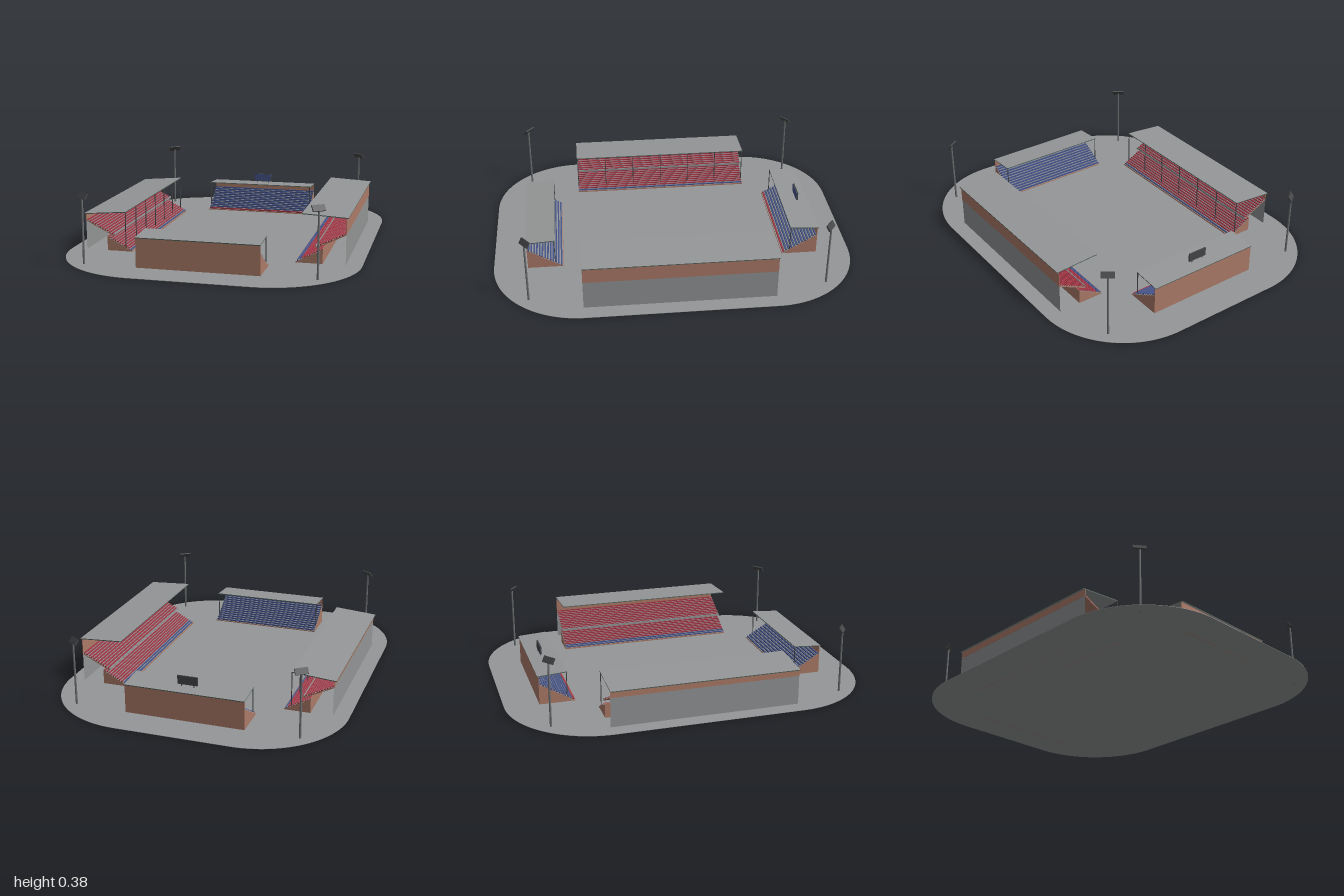
import * as THREE from 'three';

const mat = (name, color, extra = {}) =>
  Object.assign(new THREE.MeshStandardMaterial({ color, ...extra }), { name });
const concrete = mat('concrete grey', 0x949697);
const sheet = mat('wall grey', 0x929495, { side: THREE.DoubleSide });
const brick = mat('brick', 0xac7b68);
const red = mat('seat red', 0xa33645);
const blue = mat('seat blue', 0x46548a);
const steel = mat('steel grey', 0x6e7173);
const dark = mat('lamp dark grey', 0x454648);
const fascia = mat('fascia green', 0x56665f);

function add(parent, name, geometry, material, x = 0, y = 0, z = 0) {
  const mesh = new THREE.Mesh(geometry, material);
  mesh.name = name;
  mesh.position.set(x, y, z);
  parent.add(mesh);
  return mesh;
}
const box = (w, h, d) => new THREE.BoxGeometry(w, h, d);

// Stepped tier: x is the distance outwards, the section runs along z.
function tier(parent, name, { x0, y0, x1, y1, rows, slab, seat }, length) {
  const run = (x1 - x0) / rows, rise = (y1 - y0) / rows;
  const pts = [[x0, slab ? y0 - slab : 0]];
  for (let i = 0; i < rows; i++) {
    pts.push([x0 + i * run, y0 + i * rise], [x0 + (i + 1) * run, y0 + i * rise]);
  }
  pts.push([x1, slab ? y1 - slab : 0]);
  const shape = new THREE.Shape(pts.map(p => new THREE.Vector2(...p)));
  const geo = new THREE.ExtrudeGeometry(shape, { depth: length, bevelEnabled: false });
  geo.translate(0, 0, -length / 2);
  add(parent, name, geo, [brick, concrete]);
  // One continuous line of seats on each step
  for (let i = 0; i < rows; i++) {
    add(parent, name + 'Seats', box(run * 0.55, rise * 0.9, length - 0.006), seat(i),
      x0 + (i + 0.6) * run, y0 + (i + 0.45) * rise, 0);
  }
  // Brick faces at the foot, the back and the underside
  add(parent, name + 'Kerb', box(0.003, y0 - pts[0][1], length), brick, x0, (y0 + pts[0][1]) / 2, 0);
  if (slab) {
    const dx = x1 - x0, dy = y1 - y0;
    const under = add(parent, name + 'Underside', box(Math.hypot(dx, dy), 0.003, length), brick,
      (x0 + x1) / 2, (y0 + y1) / 2 - slab, 0);
    under.rotation.z = Math.atan2(dy, dx);
  } else {
    add(parent, name + 'BackWall', box(0.003, y1, length), brick, x1, y1 / 2, 0);
  }
}

// Thin sloping roof from the front edge (xf, yf) to the back edge (xb, yb)
function roof(parent, xf, yf, xb, yb, length) {
  const geo = box(Math.hypot(xb - xf, yb - yf), 0.005, length);
  const mesh = add(parent, 'roof', geo, [fascia, fascia, concrete, concrete, fascia, fascia],
    (xf + xb) / 2, (yf + yb) / 2, 0);
  mesh.rotation.z = Math.atan2(yb - yf, xb - xf);
}

function posts(parent, x, y0, y1, length, count) {
  for (let i = 0; i < count; i++) {
    const z = (i / (count - 1) - 0.5) * (length - 0.008);
    add(parent, 'roofPost', box(0.004, y1 - y0, 0.004), dark, x, (y0 + y1) / 2, z);
  }
}

// Two-tier stand along the side of the ground
function longStand(name, roofLine, blueRows, withPosts) {
  const g = new THREE.Group(), length = 1.03;
  g.name = name;
  const [xf, yf, xb, yb] = roofLine;
  tier(g, 'lowerTier', { x0: 0.453, y0: 0.01, x1: 0.592, y1: 0.083, rows: 11,
    seat: i => (i < blueRows ? blue : red) }, length);
  tier(g, 'upperTier', { x0: 0.558, y0: 0.094, x1: 0.712, y1: 0.17, rows: 11, slab: 0.008,
    seat: () => red }, length);
  add(g, 'tierParapet', box(0.004, 0.012, length), concrete, 0.556, 0.093, 0);
  const wall = new THREE.PlaneGeometry(length, 0.163).rotateY(Math.PI / 2);
  add(g, 'lowerBackWall', wall, sheet, 0.714, 0.0815, 0);
  add(g, 'upperBackWall', box(0.003, yb - 0.163, length), brick, 0.714, (yb + 0.163) / 2, 0);
  roof(g, xf, yf, xb, yb, length);
  if (withPosts) posts(g, xf + 0.002, 0.02, yf, length, 7);
  return g;
}

// Single-tier stand behind each end of the ground
function endStand(name, seat) {
  const g = new THREE.Group(), length = 0.655;
  g.name = name;
  tier(g, 'terrace', { x0: 0.617, y0: 0.008, x1: 0.808, y1: 0.12, rows: 13, seat }, length);
  add(g, 'backWall', box(0.004, 0.16, length), brick, 0.81, 0.08, 0);
  roof(g, 0.657, 0.172, 0.818, 0.161, length);
  posts(g, 0.66, 0.03, 0.171, length, 2);
  return g;
}

export function createModel() {
  const model = new THREE.Group();
  model.name = 'stadium';

  // Rounded ground slab
  const s = new THREE.Shape(), W = 0.8, L = 1, r = 0.49;
  for (const [x, y, a] of [[W - r, L - r, 0], [r - W, L - r, 1], [r - W, r - L, 2], [W - r, r - L, 3]]) {
    s.absarc(x, y, r, a * Math.PI / 2, (a + 1) * Math.PI / 2, false);
  }
  const slab = new THREE.ExtrudeGeometry(s, { depth: 0.002, bevelEnabled: false, curveSegments: 20 });
  add(model, 'ground', slab.rotateX(-Math.PI / 2), concrete);

  // Four stands
  const right = longStand('rightHandStand', [0.48, 0.265, 0.724, 0.252], 2, false);
  const left = longStand('leftHandStand', [0.487, 0.22, 0.726, 0.2], 1, true);
  left.rotation.y = Math.PI;
  const front = endStand('frontStand', () => blue);
  front.rotation.y = -Math.PI / 2;
  const back = endStand('backStand', i => (i === 0 ? red : blue));
  back.rotation.y = Math.PI / 2;
  model.add(right, left, front, back);

  // Scoreboard above the back stand
  add(model, 'scoreboard', box(0.11, 0.047, 0.008), dark, 0, 0.203, -0.75);
  add(model, 'scoreboardScreen', box(0.106, 0.043, 0.003), blue, 0, 0.203, -0.7455);
  for (const x of [-0.035, 0.035]) {
    add(model, 'scoreboardLeg', box(0.004, 0.02, 0.004), dark, x, 0.175, -0.75);
  }

  // Floodlights at the corners, tilted down towards the middle
  for (const sx of [-1, 1]) {
    for (const sz of [-1, 1]) {
      const light = new THREE.Group();
      light.name = 'floodlight';
      light.position.set(sx * 0.615, 0, sz * 0.803);
      light.rotation.y = Math.atan2(-sx * 0.6, -sz * 0.8);
      add(light, 'pole', new THREE.CylinderGeometry(0.005, 0.006, 0.355, 10), steel, 0, 0.1775, 0);
      const lamp = add(light, 'lampPanel', box(0.07, 0.034, 0.008), dark, 0, 0.362, 0.004);
      lamp.rotation.x = 0.6;
      model.add(light);
    }
  }
  return model;
}
